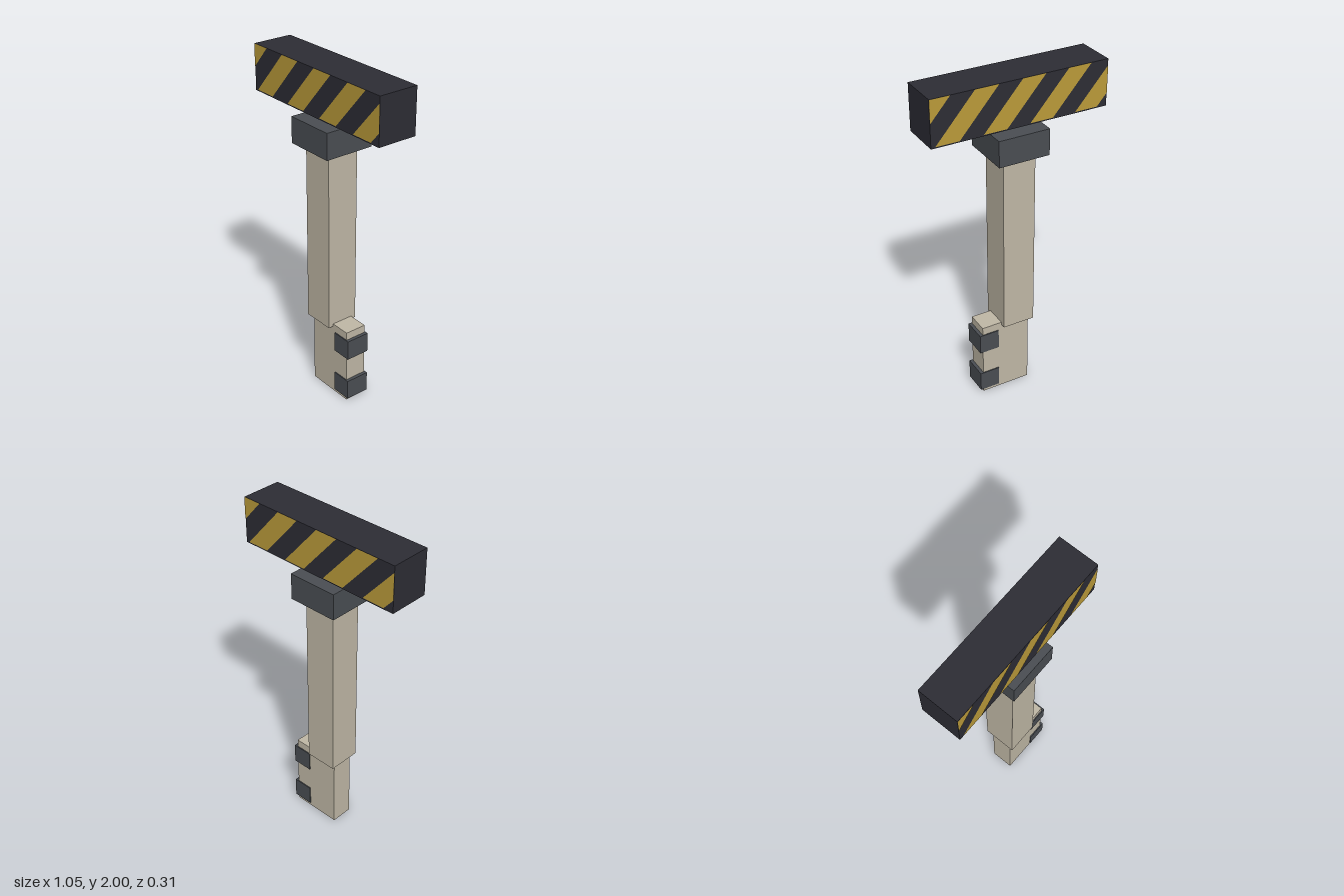
import * as THREE from 'three';

const mat = (name, color) => {
  const m = new THREE.MeshStandardMaterial({ color });
  m.name = name;
  return m;
};

// Keep the part of a polygon where side * x <= limit
function clipX(points, side, limit) {
  const out = [];
  points.forEach((a, i) => {
    const b = points[(i + 1) % points.length];
    const da = limit - side * a.x, db = limit - side * b.x;
    if (da >= 0) out.push(a);
    if (da * db < 0) out.push(a.clone().lerp(b, da / (da - db)));
  });
  return out;
}

export function createModel() {
  const root = new THREE.Group();
  root.name = 'key';
  const dark = mat('darkCharcoal', 0x2d2d35);
  const yellow = mat('warningYellow', 0xbb9b3a);
  const grey = mat('slateGrey', 0x4a4e53);
  const beige = mat('beige', 0xc0b8a6);

  // Box given by its x range, y range and half depth
  function box(name, material, x0, x1, y0, y1, halfDepth) {
    const mesh = new THREE.Mesh(new THREE.BoxGeometry(x1 - x0, y1 - y0, halfDepth * 2), material);
    mesh.position.set((x0 + x1) / 2, (y0 + y1) / 2, 0);
    mesh.name = name;
    root.add(mesh);
  }

  // Handle floats just above the collar
  const halfW = 0.523, bottom = 1.73, top = 2, halfD = 0.121;
  box('handle', dark, -halfW, halfW, bottom, top, halfD);
  box('collar', grey, -0.153, 0.153, 1.54, 1.695, 0.153);
  box('shaft', beige, -0.098, 0.098, 0.45, 1.54, 0.098);

  // Key bit with two wrapped teeth
  box('bit', beige, -0.08, 0.222, 0, 0.467, 0.067);
  box('lowerTooth', grey, 0.12, 0.242, 0.02, 0.142, 0.073);
  box('upperTooth', grey, 0.12, 0.242, 0.297, 0.419, 0.073);

  // Slanted hazard stripes, the same on front and back
  const width = 0.1375, period = 0.275, lean = 0.23;
  const stripes = [];
  for (let i = 0; i < 5; i++) {
    const x = -0.545 + i * period;
    const band = [[x - lean, bottom + 0.008], [x + width - lean, bottom + 0.008], [x + width, top], [x, top]]
      .map(([px, py]) => new THREE.Vector2(px, py));
    stripes.push(new THREE.Shape(clipX(clipX(band, 1, halfW), -1, halfW)));
  }
  const stripeGeometry = new THREE.ShapeGeometry(stripes);
  ['frontStripes', 'backStripes'].forEach((name, i) => {
    const mesh = new THREE.Mesh(stripeGeometry, yellow);
    mesh.name = name;
    mesh.position.z = (i ? -1 : 1) * (halfD + 0.002);
    mesh.rotation.y = i * Math.PI;
    root.add(mesh);
  });

  return root;
}
